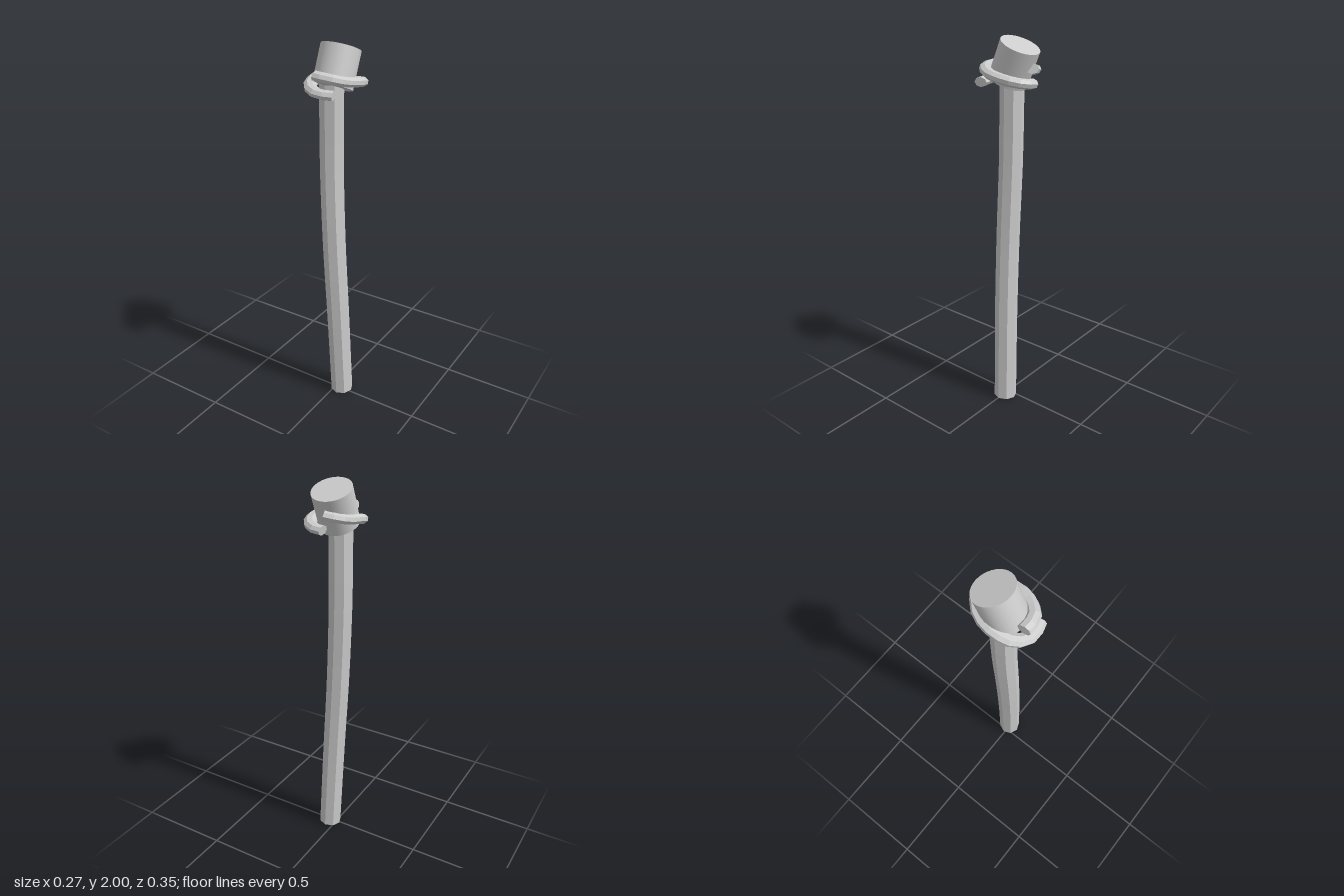
import * as THREE from 'three';

const material = new THREE.MeshStandardMaterial({ color: 0xcccccc, flatShading: true, side: THREE.DoubleSide });
const smooth = new THREE.MeshStandardMaterial({ color: 0xcccccc });

const curveOf = (points) => new THREE.CatmullRomCurve3(points.map((p) => new THREE.Vector3(...p)));

// Flat fan that closes one end of a tube, from the tube's own ring of vertices
function endCap(tube, ring, sides) {
  const pos = tube.attributes.position;
  const first = ring * (sides + 1);
  const points = Array.from({ length: sides }, (_, i) => new THREE.Vector3().fromBufferAttribute(pos, first + i));
  const corners = [];
  for (let i = 1; i < sides - 1; i++) corners.push(points[0], points[i], points[i + 1]);
  const cap = new THREE.BufferGeometry().setFromPoints(corners);
  cap.computeVertexNormals();
  return cap;
}

// Half loop of the collar: a faceted band, wider than it is tall, with closed ends
function collarHalf(name, points) {
  const flat = 0.74, segments = 10, sides = 8;
  const path = curveOf(points.map(([x, y, z]) => [x, y / flat, z]));
  const tube = new THREE.TubeGeometry(path, segments, 0.033, sides);
  const group = new THREE.Group();
  group.name = name;
  for (const geometry of [tube, endCap(tube, 0, sides), endCap(tube, segments, sides)]) {
    geometry.scale(1, flat, 1);
    group.add(new THREE.Mesh(geometry, material));
  }
  return group;
}

export function createModel() {
  const model = new THREE.Group();
  model.name = 'staff';

  // Gently bent eight-sided pole, open at the bottom
  const polePath = curveOf([
    [0.038, 0.004, -0.007], [0.018, 0.5, 0.003], [-0.006, 0.97, 0.008],
    [-0.023, 1.4, 0.002], [-0.025, 1.8, -0.002],
  ]);
  const pole = new THREE.Mesh(new THREE.TubeGeometry(polePath, 12, 0.062, 8), material);
  pole.name = 'pole';
  model.add(pole);

  // Round head, leaning to the back
  const head = new THREE.Mesh(new THREE.CylinderGeometry(0.1, 0.1, 0.19, 32), smooth);
  head.name = 'head';
  head.position.set(-0.011, 1.873, -0.026);
  head.rotation.x = -0.405;
  model.add(head);

  // Two sloping half loops that overlap at front and back
  model.add(collarHalf('collarLeft', [
    [-0.04, 1.856, 0.12], [0.03, 1.85, 0.116], [0.085, 1.83, 0.058], [0.106, 1.815, -0.03],
    [0.085, 1.8, -0.1], [0.04, 1.79, -0.138], [-0.01, 1.786, -0.142],
  ]));
  model.add(collarHalf('collarRight', [
    [-0.01, 1.856, -0.137], [-0.06, 1.845, -0.113], [-0.095, 1.83, -0.06], [-0.107, 1.82, 0.01],
    [-0.088, 1.8, 0.09], [-0.04, 1.785, 0.134], [0.01, 1.778, 0.139], [0.065, 1.776, 0.124],
  ]));

  return model;
}
